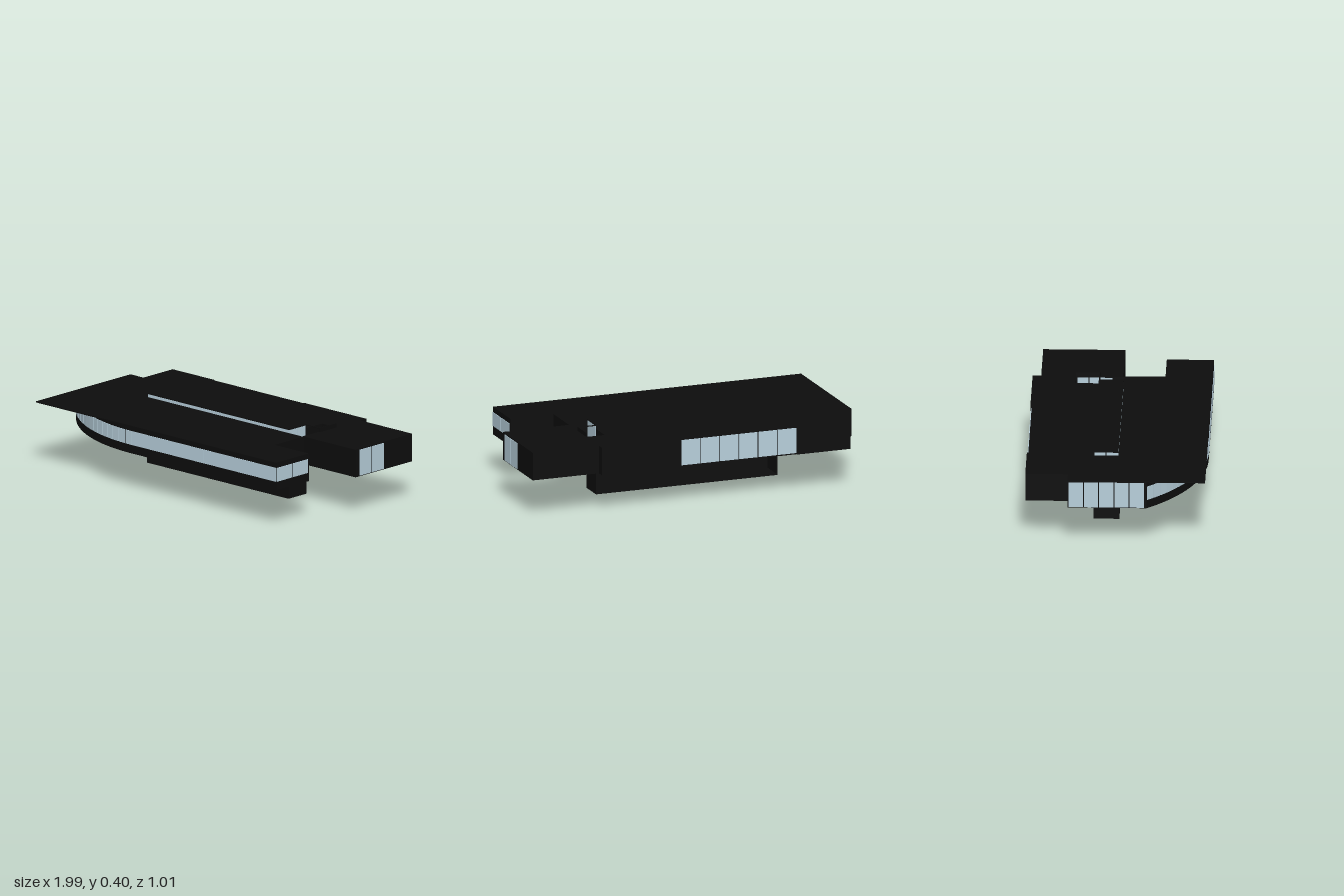
import * as THREE from 'three';

const black = new THREE.MeshStandardMaterial({ color: 0x0d0d0d });
const glass = new THREE.MeshStandardMaterial({ color: 0xb8d0dc });

const FLOOR = 0.22, ROOF = 0.38, TOP = 0.403;
const ARC_R = 1, ARC_X = -0.25, ARC_Z = -0.5;   // curved front corner
const ARC_ANGLE = Math.asin(0.74);

// point on the curved wall; t = 0 at the side, 1 where it meets the front
function arcPoint(t) {
  const a = ARC_ANGLE * (1 - t);
  return [ARC_X - ARC_R * Math.sin(a), ARC_Z + ARC_R * Math.cos(a)];
}

// plan given as [x, z] points, raised from y0 to y1
function slab(name, plan, holes, y0, y1) {
  const toVec = ([x, z]) => new THREE.Vector2(x, -z);
  const shape = new THREE.Shape(plan.map(toVec));
  holes.forEach(h => shape.holes.push(new THREE.Path(h.map(toVec))));
  const geo = new THREE.ExtrudeGeometry(shape, { depth: y1 - y0, bevelEnabled: false });
  geo.rotateX(-Math.PI / 2).translate(0, y0, 0);
  const mesh = new THREE.Mesh(geo, black);
  mesh.name = name;
  return mesh;
}

// box given by its limits
function box(name, x0, x1, y0, y1, z0, z1) {
  const mesh = new THREE.Mesh(new THREE.BoxGeometry(x1 - x0, y1 - y0, z1 - z0), black);
  mesh.position.set((x0 + x1) / 2, (y0 + y1) / 2, (z0 + z1) / 2);
  mesh.name = name;
  return mesh;
}

// row of n panes between two plan points, separated by dark gaps
function panes(name, a, b, y0, y1, n, gap = 0.005) {
  const group = new THREE.Group();
  group.name = name;
  const dx = b[0] - a[0], dz = b[1] - a[1], step = Math.hypot(dx, dz) / n;
  for (let i = 0; i < n; i++) {
    const t = (i + 0.5) / n;
    const pane = new THREE.Mesh(new THREE.BoxGeometry(step - gap, y1 - y0, 0.006), glass);
    pane.position.set(a[0] + dx * t, (y0 + y1) / 2, a[1] + dz * t);
    pane.rotation.y = Math.atan2(-dz, dx);
    pane.name = 'pane';
    group.add(pane);
  }
  return group;
}

export function createModel() {
  const model = new THREE.Group();
  model.name = 'house';

  // plan shared by body and roof: front wing, notch, side wing, back
  const rest = [
    [0.86, 0.5], [0.86, 0.235], [0.6, 0.235], [0.6, 0], [0.997, 0], [0.997, -0.46], [0.6, -0.46],
    [0.6, -0.508], [0.125, -0.508], [0.125, -0.5], [-0.57, -0.5], [-0.57, -0.508],
    [-0.89, -0.508], [-0.89, -0.27], [-0.99, -0.27],
  ];
  const curve = Array.from({ length: 17 }, (_, i) => arcPoint(i / 16));
  // stair hall and light well opening
  const opening = [
    [-0.6, 0.005], [0.59, 0.005], [0.59, -0.265], [0.49, -0.265], [0.49, -0.135], [-0.6, -0.135],
  ];
  model.add(slab('body', [...curve, ...rest], [opening], FLOOR, ROOF - 0.006));
  model.add(slab('roof', [[-0.99, 0.5], ...rest], [opening], ROOF - 0.006, ROOF));
  model.add(box('lightWellFloor', 0.49, 0.595, FLOOR, FLOOR + 0.006, -0.27, 0.004));

  // ribbon window around the front
  for (let i = 0; i < 16; i++) {
    model.add(panes('curvedWindow', arcPoint(i / 16), arcPoint((i + 1) / 16), 0.27, 0.35, 1, 0.004));
  }
  model.add(panes('frontWindow', [-0.25, 0.5], [0.86, 0.5], 0.27, 0.35, 2));
  model.add(panes('frontWingEndWindow', [0.86, 0.5], [0.86, 0.245], 0.27, 0.35, 2));

  // tall windows at the ends and back
  model.add(panes('sideWingWindow', [0.997, -0.03], [0.997, -0.23], 0.224, 0.374, 2, 0.007));
  model.add(panes('sideWindow', [-0.99, -0.265], [-0.99, 0.16], 0.224, 0.372, 5));
  model.add(panes('backWindow', [0.125, -0.501], [-0.57, -0.501], 0.228, 0.374, 6));

  // glazed stair hall rising through the roof
  model.add(panes('hallFrontWindow', [-0.6, 0.001], [0.49, 0.001], FLOOR, TOP - 0.006, 7));
  model.add(panes('hallEndWindow', [0.487, 0], [0.487, -0.13], FLOOR + 0.01, TOP - 0.006, 2));
  model.add(panes('hallEndWindow', [-0.597, 0], [-0.597, -0.13], FLOOR + 0.01, TOP - 0.006, 2));
  model.add(box('hallBackWall', -0.6, 0.49, FLOOR + 0.1, TOP, -0.135, -0.13));
  model.add(box('hallRoof', -0.6, 0.49, TOP - 0.006, TOP, -0.135, 0.005));

  // light well beside the hall
  model.add(panes('lightWellWindow', [0.589, -0.26], [0.589, -0.06], 0.23, 0.374, 3));
  model.add(box('lightWellParapet', 0.594, 0.6, ROOF - 0.01, TOP, -0.265, -0.13));
  model.add(box('lightWellRail', 0.49, 0.6, TOP - 0.005, TOP, -0.135, -0.13));

  // stair base, open towards the back
  model.add(box('baseFrontWall', -0.6, 0.49, 0, FLOOR, 0.003, 0.01));
  model.add(box('baseFloor', -0.6, 0.49, 0, 0.006, -0.135, 0.01));
  for (const x of [-0.6, 0.484]) {
    model.add(box('baseEndWall', x, x + 0.006, 0, FLOOR, -0.135, 0.01));
  }
  return model;
}
